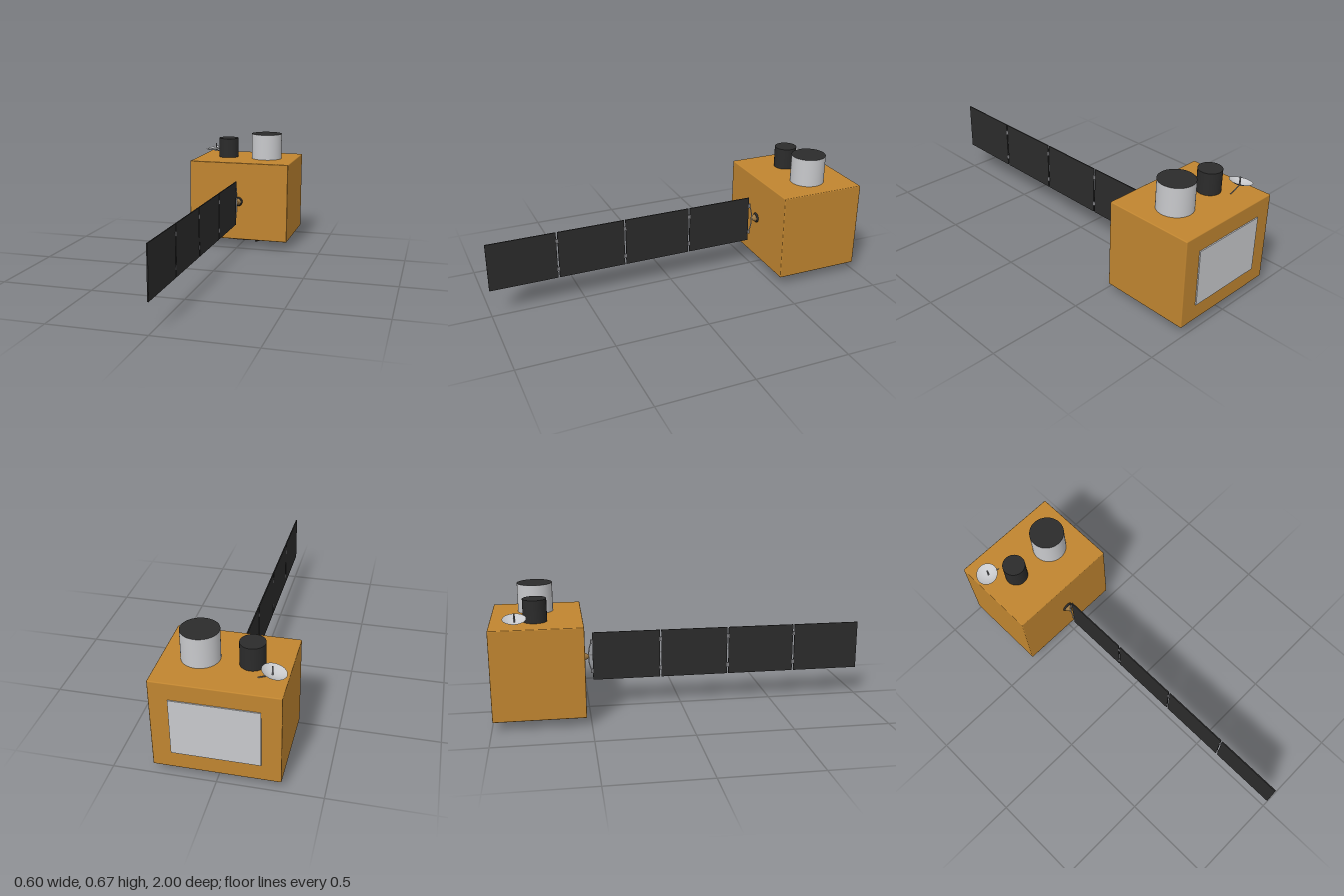
import * as THREE from 'three';
import { RoundedBoxGeometry } from 'three/addons/geometries/RoundedBoxGeometry.js';

const mat = (name, color, side = THREE.FrontSide) => {
  const m = new THREE.MeshStandardMaterial({ color, side });
  m.name = name;
  return m;
};

export function createModel() {
  const foil = mat('gold foil', 0xc08530);
  const silver = mat('silver', 0xc8c9cc);
  const dish = mat('dish silver', 0xc8c9cc, THREE.DoubleSide);
  const dark = mat('charcoal', 0x2b2b2b);
  const grey = mat('grey metal', 0x7c7c80);
  const tan = mat('tan metal', 0x9a7744);

  const model = new THREE.Group();
  model.name = 'satellite';

  const add = (name, geometry, material, x = 0, y = 0, z = 0, parent = model) => {
    const mesh = new THREE.Mesh(geometry, material);
    mesh.name = name;
    mesh.position.set(x, y, z);
    parent.add(mesh);
    return mesh;
  };
  // Thin rod between two points
  const rod = (name, a, b, r, material) => {
    const p = new THREE.Vector3(...a), q = new THREE.Vector3(...b);
    const m = add(name, new THREE.CylinderGeometry(r, r, p.distanceTo(q), 12), material);
    m.position.copy(p).lerp(q, 0.5);
    m.quaternion.setFromUnitVectors(new THREE.Vector3(0, 1, 0), q.sub(p).normalize());
    return m;
  };

  // Foil-covered body and rear radiator
  add('body', new RoundedBoxGeometry(0.604, 0.47, 0.468, 2, 0.005), foil, 0, 0.283, -0.76);
  add('radiator', new THREE.BoxGeometry(0.42, 0.295, 0.008), silver, 0, 0.283, -0.996);

  // Instrument barrels on the top deck
  add('smallBarrel', new THREE.CylinderGeometry(0.0605, 0.0605, 0.12, 48), dark, -0.122, 0.575, -0.765);
  add('largeBarrel', new THREE.CylinderGeometry(0.092, 0.092, 0.155, 48),
    [silver, dark, silver], 0.12, 0.5925, -0.765);

  // Dish antenna: shallow bowl tilted toward the model's right
  const bowl = [];
  for (let i = 0; i <= 10; i++) {
    const t = i / 10;
    bowl.push(new THREE.Vector2(0.059 * t, 0.02 * t * t));
  }
  const dishMesh = add('dish', new THREE.LatheGeometry(bowl, 40), dish, -0.235, 0.541, -0.863);
  dishMesh.rotation.z = 0.24;
  rod('dishFeed', [-0.232, 0.543, -0.863], [-0.232, 0.585, -0.863], 0.004, grey);
  rod('dishStrut', [-0.235, 0.543, -0.863], [-0.165, 0.517, -0.863], 0.003, grey);

  // Docking plate under the body
  add('basePlate', new THREE.CylinderGeometry(0.165, 0.165, 0.02, 64), [grey, grey, dark], 0, 0.038, -0.759);

  // Thrusters: flared nozzles splayed outward, one larger than the rest
  const thruster = (x, z, s) => {
    const g = new THREE.Group();
    g.name = 'thruster';
    g.position.set(x, 0.032, z);
    g.quaternion.setFromUnitVectors(new THREE.Vector3(0, -1, 0),
      new THREE.Vector3(Math.sign(x) * 0.3, -1, Math.sign(z + 0.76) * 0.3).normalize());
    g.scale.setScalar(s);
    model.add(g);
    add('nozzle', new THREE.CylinderGeometry(0.007, 0.011, 0.014, 20), silver, 0, -0.007, 0, g);
    add('nozzleMouth', new THREE.CylinderGeometry(0.0115, 0.0115, 0.004, 20), dark, 0, -0.016, 0, g);
  };
  thruster(0.086, -0.673, 1.45);
  thruster(0.069, -0.842, 1);
  thruster(-0.073, -0.842, 1);
  thruster(-0.073, -0.673, 1);
  add('downwardProbe', new THREE.CylinderGeometry(0.008, 0.008, 0.03, 20), silver, -0.082, 0.015, -0.757);

  // Solar array drive on the front face
  const drive = (name, r0, r1, z0, z1, material) => {
    const m = add(name, new THREE.CylinderGeometry(r1, r0, z1 - z0, 32), material, 0, 0.283, (z0 + z1) / 2);
    m.rotation.x = Math.PI / 2;
  };
  drive('driveRing', 0.03, 0.023, -0.528, -0.517, dark);
  drive('driveCone', 0.021, 0.009, -0.517, -0.495, tan);

  // Curved yoke holding the first panel
  const yokePath = new THREE.CatmullRomCurve3([
    [0.368, -0.476], [0.355, -0.484], [0.318, -0.494], [0.283, -0.496],
    [0.248, -0.494], [0.211, -0.484], [0.198, -0.476],
  ].map(([y, z]) => new THREE.Vector3(0, y, z)));
  add('yoke', new THREE.TubeGeometry(yokePath, 40, 0.003, 8), silver);

  // Four solar panels with paired hinges at each joint
  const length = 0.3625, pitch = 0.3708;
  for (let i = 0; i < 4; i++) {
    const end = 1 - i * pitch;
    add('solarPanel', new THREE.BoxGeometry(0.006, 0.262, length), dark, 0, 0.283, end - length / 2);
    for (const dy of [-0.081, 0.081]) {
      add('panelHinge', new THREE.BoxGeometry(0.008, 0.022, 0.013), grey, 0, 0.283 + dy, end - length - 0.004);
    }
  }

  return model;
}
